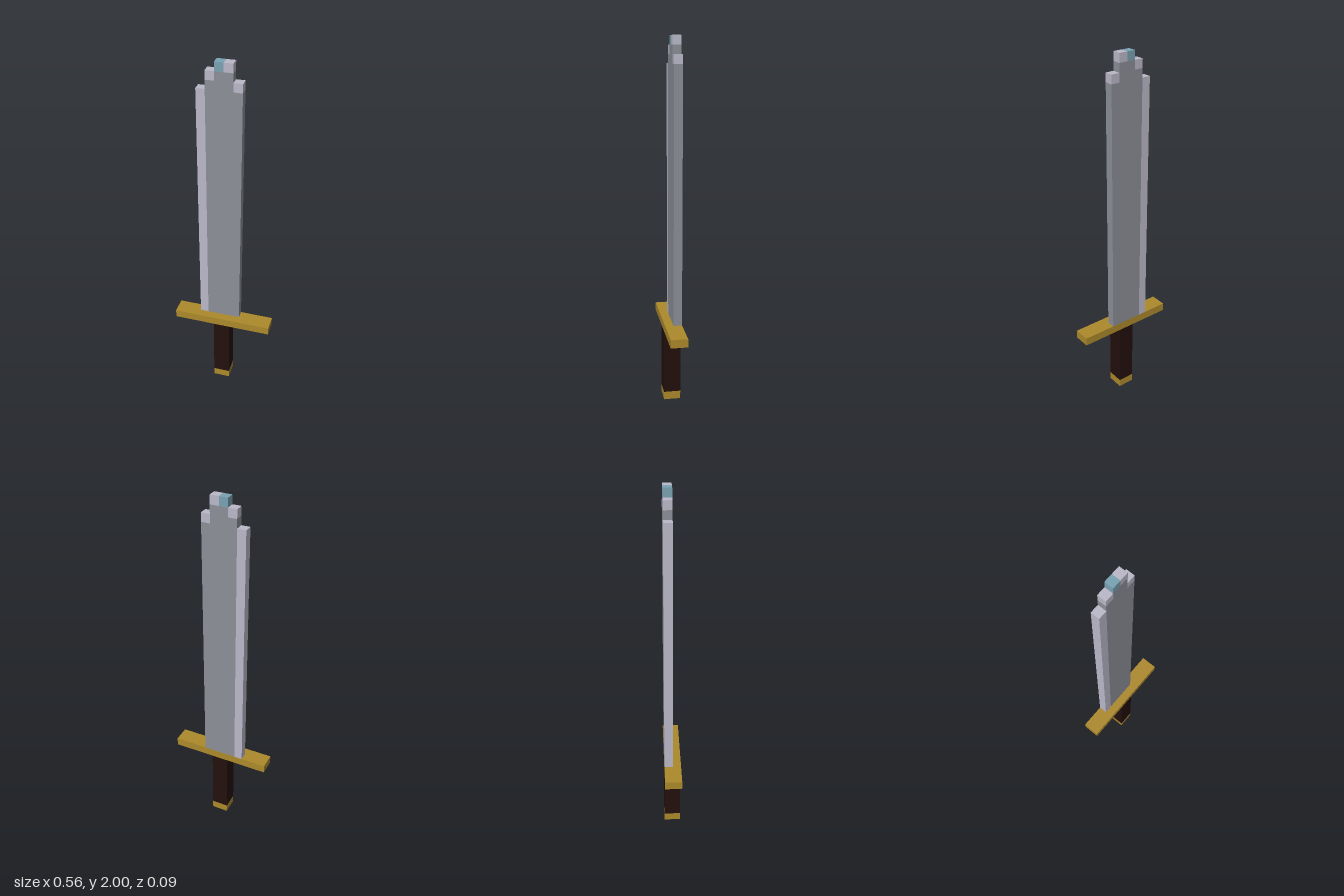
import * as THREE from 'three';

const U = 2 / 43; // one cube of the blocky grid

const mat = (name, color) => {
  const m = new THREE.MeshStandardMaterial({ color });
  m.name = name;
  return m;
};

export function createModel() {
  const steel = mat('steel', 0x8c8f98);
  const edge = mat('paleEdge', 0xbbb9c9);
  const blue = mat('blueTip', 0x7aa2b3);
  const gold = mat('gold', 0xac892b);
  const leather = mat('darkLeather', 0x220f0d);

  const sword = new THREE.Group();
  sword.name = 'sword';

  // Box between two grid corners
  const block = (parent, name, material, [x0, y0, z0], [x1, y1, z1]) => {
    const geo = new THREE.BoxGeometry((x1 - x0) * U, (y1 - y0) * U, (z1 - z0) * U);
    const mesh = new THREE.Mesh(geo, material);
    mesh.position.set((x0 + x1) * U / 2, (y0 + y1) * U / 2, (z0 + z1) * U / 2);
    mesh.name = name;
    parent.add(mesh);
  };

  // Hilt
  block(sword, 'pommel', gold, [-1, 0, -1], [1, 1, 1]);
  block(sword, 'grip', leather, [-1, 1, -1], [1, 9, 1]);
  block(sword, 'guard', gold, [-6, 9, -1], [6, 10, 1]);

  // Blade: one cube thick, set towards the back of the guard
  const blade = new THREE.Group();
  blade.name = 'blade';
  sword.add(blade);
  block(blade, 'cuttingEdge', edge, [-3, 10, -1], [-2, 40, 0]);

  // Steel columns, each capped by one coloured cube: [x, steel top, cap]
  const columns = [[-2, 41, edge], [-1, 42, blue], [0, 42, edge], [1, 40, edge]];
  for (const [x, top, cap] of columns) {
    block(blade, 'bladeColumn', steel, [x, 10, -1], [x + 1, top, 0]);
    block(blade, 'bladeTip', cap, [x, top, -1], [x + 1, top + 1, 0]);
  }
  return sword;
}
